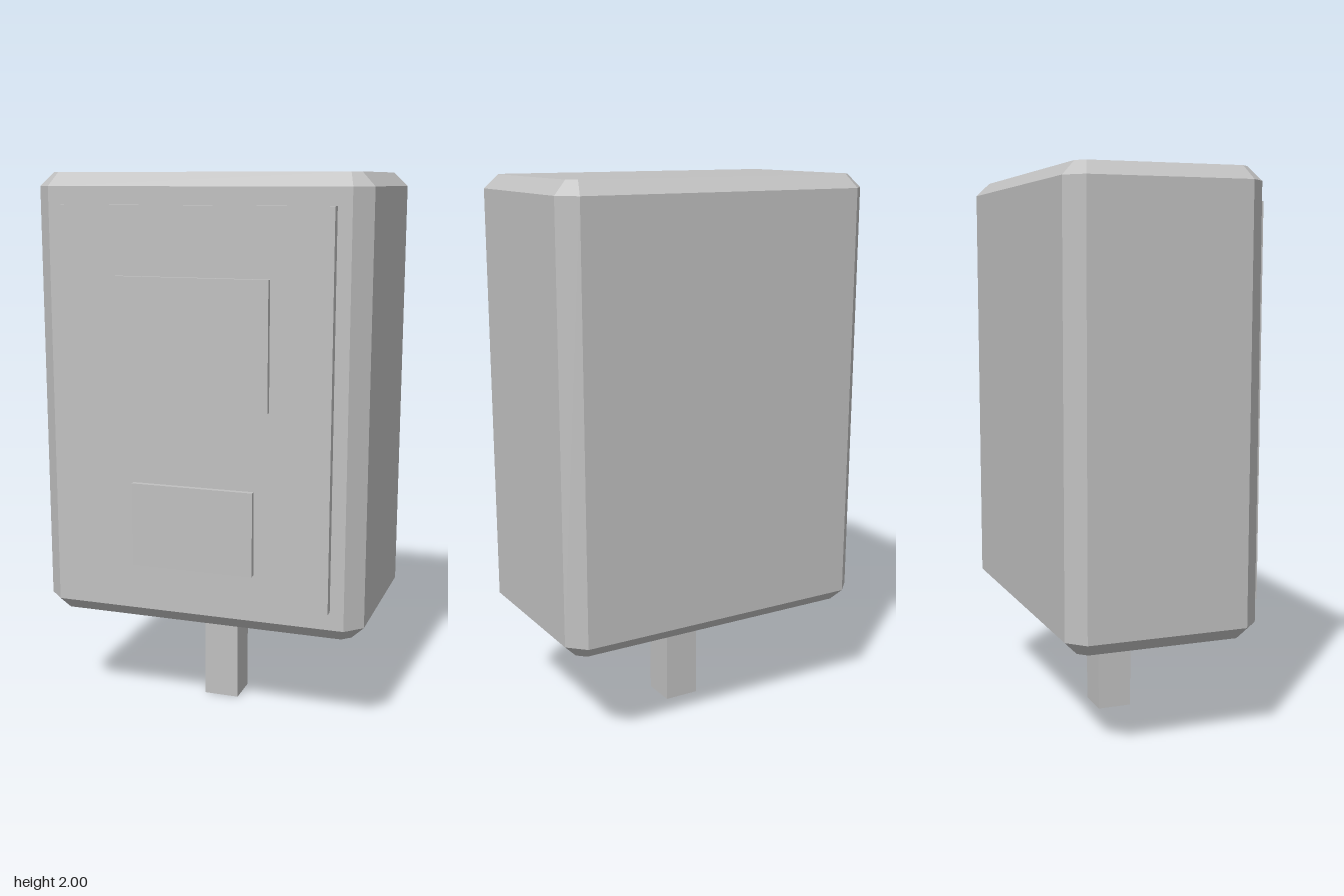
import * as THREE from 'three';

const grey = new THREE.MeshStandardMaterial({ color: 0xc0c0c0 });
grey.name = 'grey';

// Box given by its min and max corners
function box(name, [x0, y0, z0], [x1, y1, z1]) {
  const mesh = new THREE.Mesh(new THREE.BoxGeometry(x1 - x0, y1 - y0, z1 - z0), grey);
  mesh.position.set((x0 + x1) / 2, (y0 + y1) / 2, (z0 + z1) / 2);
  mesh.name = name;
  return mesh;
}

// Rectangle with cut corners at height y, counter-clockwise seen from above
function ring(y, halfX, halfZ, cut) {
  const a = halfX - cut, b = halfZ - cut;
  return [
    [halfX, b], [halfX, -b], [a, -halfZ], [-a, -halfZ],
    [-halfX, -b], [-halfX, b], [-a, halfZ], [a, halfZ],
  ].map(([x, z]) => [x, y, z]);
}

// Joins the rings from bottom to top with flat faces and closes both ends
function loft(rings) {
  const pos = [];
  const tri = (...corners) => corners.forEach((c) => pos.push(...c));
  const n = rings[0].length;
  for (let r = 0; r < rings.length - 1; r++) {
    for (let i = 0; i < n; i++) {
      const j = (i + 1) % n, lo = rings[r], hi = rings[r + 1];
      tri(lo[i], lo[j], hi[j]);
      tri(lo[i], hi[j], hi[i]);
    }
  }
  const bottom = rings[0], top = rings[rings.length - 1];
  for (let i = 1; i < n - 1; i++) {
    tri(top[0], top[i], top[i + 1]);
    tri(bottom[0], bottom[i + 1], bottom[i]);
  }
  const geometry = new THREE.BufferGeometry();
  geometry.setAttribute('position', new THREE.Float32BufferAttribute(pos, 3));
  geometry.computeVertexNormals();
  return geometry;
}

export function createModel() {
  const group = new THREE.Group();
  group.name = 'meterBox';

  // Housing with all edges chamfered
  const housing = new THREE.Mesh(loft([
    ring(0.385, 0.557, 0.304, 0.03),
    ring(0.433, 0.605, 0.352, 0.06),
    ring(1.952, 0.605, 0.352, 0.06),
    ring(2, 0.557, 0.304, 0.03),
  ]), grey);
  housing.position.z = -0.027;
  housing.name = 'housing';
  group.add(housing);

  // Front door with two raised plates, and the post below
  group.add(
    box('frontPanel', [-0.495, 0.5, 0.3], [0.495, 1.89, 0.357]),
    box('upperPlate', [-0.278, 1.2, 0.33], [0.278, 1.65, 0.377]),
    box('lowerPlate', [-0.225, 0.615, 0.33], [0.225, 0.918, 0.377]),
    box('post', [-0.066, 0, -0.086], [0.066, 0.4, 0.043]),
  );
  return group;
}
